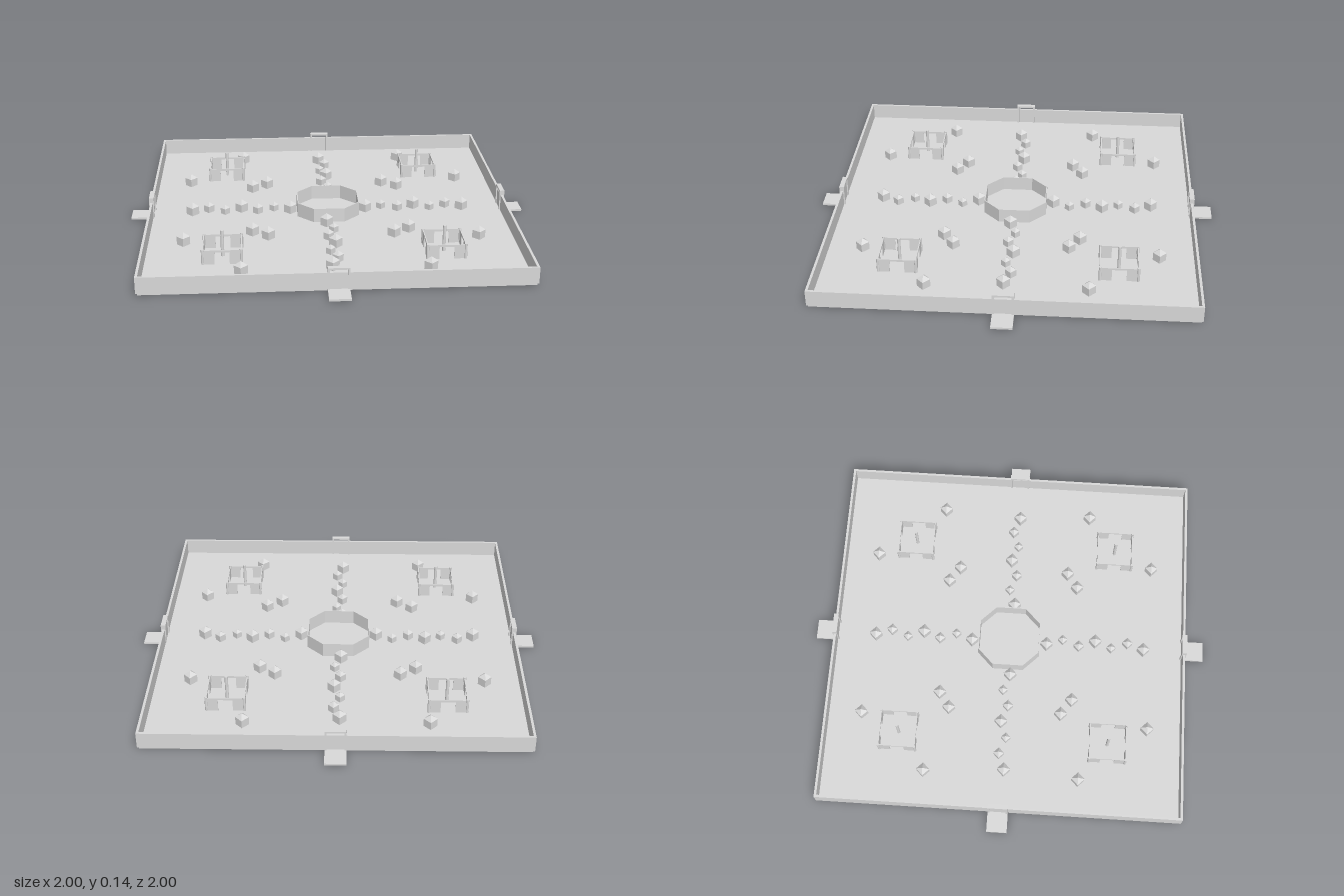
import * as THREE from 'three';

const stone = new THREE.MeshStandardMaterial({ color: 0xd9d9d9, flatShading: true });
stone.name = 'pale grey stone';

function add(parent, name, geometry, x, y, z) {
  const m = new THREE.Mesh(geometry, stone);
  m.name = name;
  m.position.set(x, y, z);
  parent.add(m);
  return m;
}
// Box given by its centre in x, z and its bottom and top heights
const box = (parent, name, w, d, y0, y1, x, z) =>
  add(parent, name, new THREE.BoxGeometry(w, y1 - y0, d), x, (y0 + y1) / 2, z);

const FLOOR = 0.01;

// Small house: diamond-plan body with a pyramid roof
function house(parent, x, z, r) {
  const g = new THREE.Group();
  g.name = 'house';
  g.position.set(x, FLOOR, z);
  const h = r * 1.25;
  add(g, 'houseBody', new THREE.CylinderGeometry(r * 0.97, r * 0.97, h, 4), 0, h / 2, 0);
  add(g, 'houseRoof', new THREE.ConeGeometry(r, r * 0.65, 4), 0, h + r * 0.325, 0);
  parent.add(g);
}

// Square pavilion: doorway in each side, round corner posts and a central pole
function pavilion(parent, x, z) {
  const g = new THREE.Group();
  g.name = 'pavilion';
  g.position.set(x, 0, z);
  const s = 0.09, top = 0.08, t = 0.005;
  for (let i = 0; i < 4; i++) {
    const side = new THREE.Group();
    side.name = 'pavilionSide';
    side.rotation.y = i * Math.PI / 2;
    for (const k of [-1, 1]) box(side, 'pavilionWall', 0.055, t, FLOOR, top, k * 0.0625, s);
    box(side, 'doorLintel', 0.07, t, top - 0.01, top, 0, s);
    add(side, 'cornerPost', new THREE.CylinderGeometry(0.007, 0.007, 0.074, 8), s, FLOOR + 0.037, s);
    g.add(side);
  }
  add(g, 'centrePole', new THREE.CylinderGeometry(0.008, 0.008, 0.13, 8), 0, FLOOR + 0.065, 0);
  parent.add(g);
}

export function createModel() {
  const model = new THREE.Group();
  model.name = 'walledCourt';
  box(model, 'floor', 1.786, 1.786, 0, FLOOR, 0, 0);

  // Perimeter walls, each with a raised gate frame and a ramp outside
  for (let i = 0; i < 4; i++) {
    const side = new THREE.Group();
    side.name = 'courtSide';
    side.rotation.y = i * Math.PI / 2;
    box(side, 'outerWall', 1.8, 0.012, FLOOR, 0.09, 0, 0.894);
    box(side, 'ramp', 0.1, 0.107, 0, FLOOR, 0, 0.9465);
    for (const k of [-1, 1]) box(side, 'gatePost', 0.01, 0.024, FLOOR, 0.115, k * 0.045, 0.894);
    box(side, 'gateLintel', 0.1, 0.024, 0.106, 0.115, 0, 0.894);
    model.add(side);
  }

  // Central octagonal ring wall
  const octagon = (r, c, Path) => new Path([[c, r], [-c, r], [-r, c], [-r, -c], [-c, -r], [c, -r], [r, -c], [r, c]]
    .map(([x, y]) => new THREE.Vector2(x, y)));
  const ring = octagon(0.157, 0.077, THREE.Shape);
  ring.holes.push(octagon(0.152, 0.075, THREE.Path));
  const ringGeo = new THREE.ExtrudeGeometry(ring, { depth: 0.072, bevelEnabled: false });
  ringGeo.rotateX(-Math.PI / 2);
  add(model, 'octagonWall', ringGeo, 0, FLOOR, 0);

  // Corner pavilions with scattered houses around them
  for (const sx of [-1, 1]) for (const sz of [-1, 1]) {
    pavilion(model, sx * 0.525, sz * 0.525);
    for (const [x, z] of [[0.437, 0.72], [0.717, 0.385], [0.385, 0.283], [0.308, 0.335]])
      house(model, sx * x, sz * z, 0.033);
  }

  // Staggered rows of houses along the four avenues: distance and size
  const row = [[0.69, 0.033], [0.608, 0.027], [0.525, 0.024], [0.442, 0.033], [0.358, 0.027], [0.275, 0.024], [0.192, 0.033]];
  row.forEach(([d, r], i) => {
    const o = i % 2 ? 0.015 : -0.015;
    for (const s of [-1, 1]) {
      house(model, o, s * d, r);
      house(model, s * d, -o, r);
    }
  });
  return model;
}
